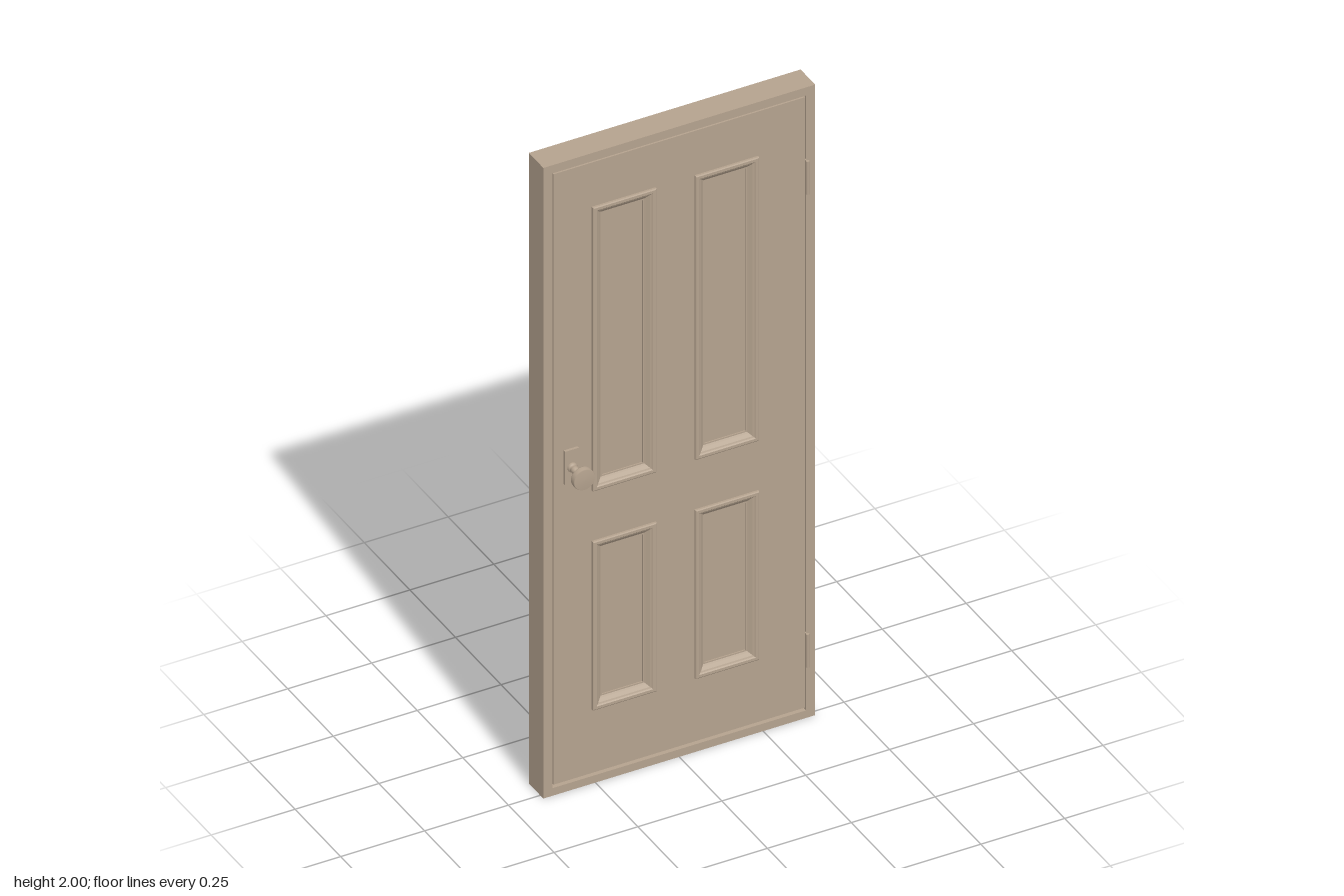
import * as THREE from 'three';

const MID = -0.0015;   // middle plane of the door leaf
const HALF = 0.0185;   // half the leaf thickness
const KNOB = { x: -0.324, y: 1.03 };

// Panel openings: centre x, width, bottom and top
const PANELS = [];
for (const cx of [-0.166, 0.14]) {
  PANELS.push({ cx, w: 0.19, y0: 0.93, y1: 1.83 }, { cx, w: 0.19, y0: 0.235, y1: 0.77 });
}

// Moulding section: inset from the outer edge, height above the leaf face
const MOULDING = [
  [0, 0], [0, 0.006], [0.003, 0.008], [0.011, 0.008], [0.014, 0.005],
  [0.018, 0.003], [0.026, -0.004], [0.03, -0.007], [0.034, -0.007], [0.034, -0.012],
];

function rectPath(PathClass, x0, y0, x1, y1) {
  return new PathClass([[x0, y0], [x1, y0], [x1, y1], [x0, y1]].map(([x, y]) => new THREE.Vector2(x, y)));
}

// Flat board with rectangular holes, between two depths
function board(outer, holes, z0, z1) {
  const shape = rectPath(THREE.Shape, ...outer);
  for (const h of holes) shape.holes.push(rectPath(THREE.Path, ...h));
  return new THREE.ExtrudeGeometry(shape, { depth: z1 - z0, bevelEnabled: false }).translate(0, 0, z0);
}

// Mitred rectangular moulding swept from the section
function mouldingGeometry(w, h) {
  const rings = MOULDING.map(([u, z]) => {
    const x = w / 2 - u, y = h / 2 - u;
    return [[-x, -y, z], [x, -y, z], [x, y, z], [-x, y, z]];
  });
  const pos = [];
  for (let i = 0; i < rings.length - 1; i++) {
    for (let k = 0; k < 4; k++) {
      const n = (k + 1) % 4;
      const a = rings[i][k], b = rings[i][n], c = rings[i + 1][n], d = rings[i + 1][k];
      pos.push(...a, ...b, ...c, ...a, ...c, ...d);
    }
  }
  const geo = new THREE.BufferGeometry();
  geo.setAttribute('position', new THREE.Float32BufferAttribute(pos, 3));
  geo.computeVertexNormals();
  return geo;
}

// Turned knob, pointing along +z from the leaf face
function knobGeometry() {
  const profile = [
    [0.014, 0.006], [0.014, 0.012], [0.012, 0.015], [0.009, 0.016], [0.011, 0.021], [0.011, 0.026],
    [0.009, 0.032], [0.006, 0.037], [0.0055, 0.042], [0.008, 0.047], [0.014, 0.052], [0.016, 0.055],
    [0.028, 0.058], [0.0315, 0.06], [0.032, 0.062], [0.032, 0.075], [0.0305, 0.078], [0, 0.0785],
  ].map(([r, y]) => new THREE.Vector2(r, y));
  return new THREE.LatheGeometry(profile, 28).rotateX(Math.PI / 2);
}

export function createModel() {
  const model = new THREE.Group();
  model.name = 'panelledDoor';
  const paint = new THREE.MeshStandardMaterial({ color: 0xb4a28e });
  paint.name = 'taupe paint';

  function add(parent, name, geometry, x = 0, y = 0, z = 0) {
    const mesh = new THREE.Mesh(geometry, paint);
    mesh.name = name;
    mesh.position.set(x, y, z);
    parent.add(mesh);
    return mesh;
  }

  // Frame and the stop the leaf closes against
  add(model, 'frame', board([-0.405, 0, 0.405, 2], [[-0.378, 0.024, 0.378, 1.974]], -0.063, 0.017));
  add(model, 'doorStop', board([-0.379, 0.023, 0.379, 1.975], [[-0.363, 0.036, 0.363, 1.957]], -0.043, -0.0205));

  // Leaf, cut out behind the mouldings
  const holes = PANELS.map(p => [p.cx - p.w / 2 + 0.02, p.y0 + 0.02, p.cx + p.w / 2 - 0.02, p.y1 - 0.02]);
  add(model, 'doorLeaf', board([-0.375, 0.034, 0.375, 1.97], holes, MID - HALF, MID + HALF));
  for (const p of PANELS) {
    add(model, 'recessedPanel', new THREE.BoxGeometry(p.w - 0.035, p.y1 - p.y0 - 0.035, 0.016),
      p.cx, (p.y0 + p.y1) / 2, MID);
  }

  // Mouldings and knob on both faces
  const knob = knobGeometry();
  for (const side of [1, -1]) {
    const face = new THREE.Group();
    face.name = side > 0 ? 'frontFace' : 'backFace';
    face.position.z = MID;
    face.rotation.y = side > 0 ? 0 : Math.PI;
    model.add(face);
    for (const p of PANELS) {
      add(face, 'panelMoulding', mouldingGeometry(p.w, p.y1 - p.y0), side * p.cx, (p.y0 + p.y1) / 2, HALF);
    }
    add(face, 'knobPlate', new THREE.BoxGeometry(0.042, 0.105, 0.008), side * KNOB.x, 1.032, HALF + 0.004);
    add(face, 'knob', knob, side * KNOB.x, KNOB.y, HALF);
  }

  // Latch in the gap beside the knob
  add(model, 'latch', new THREE.BoxGeometry(0.02, 0.03, 0.016), -0.379, KNOB.y, MID);

  // Hinges
  for (const y of [0.2225, 1.7225]) {
    const hinge = new THREE.Group();
    hinge.name = 'hinge';
    hinge.position.set(0.3755, y, 0);
    add(hinge, 'hingeBarrel', new THREE.CylinderGeometry(0.0048, 0.0048, 0.105, 12), 0, 0, 0.0295);
    add(hinge, 'hingeLeaf', new THREE.BoxGeometry(0.003, 0.1, 0.04), 0, 0, 0.008);
    model.add(hinge);
  }
  return model;
}
